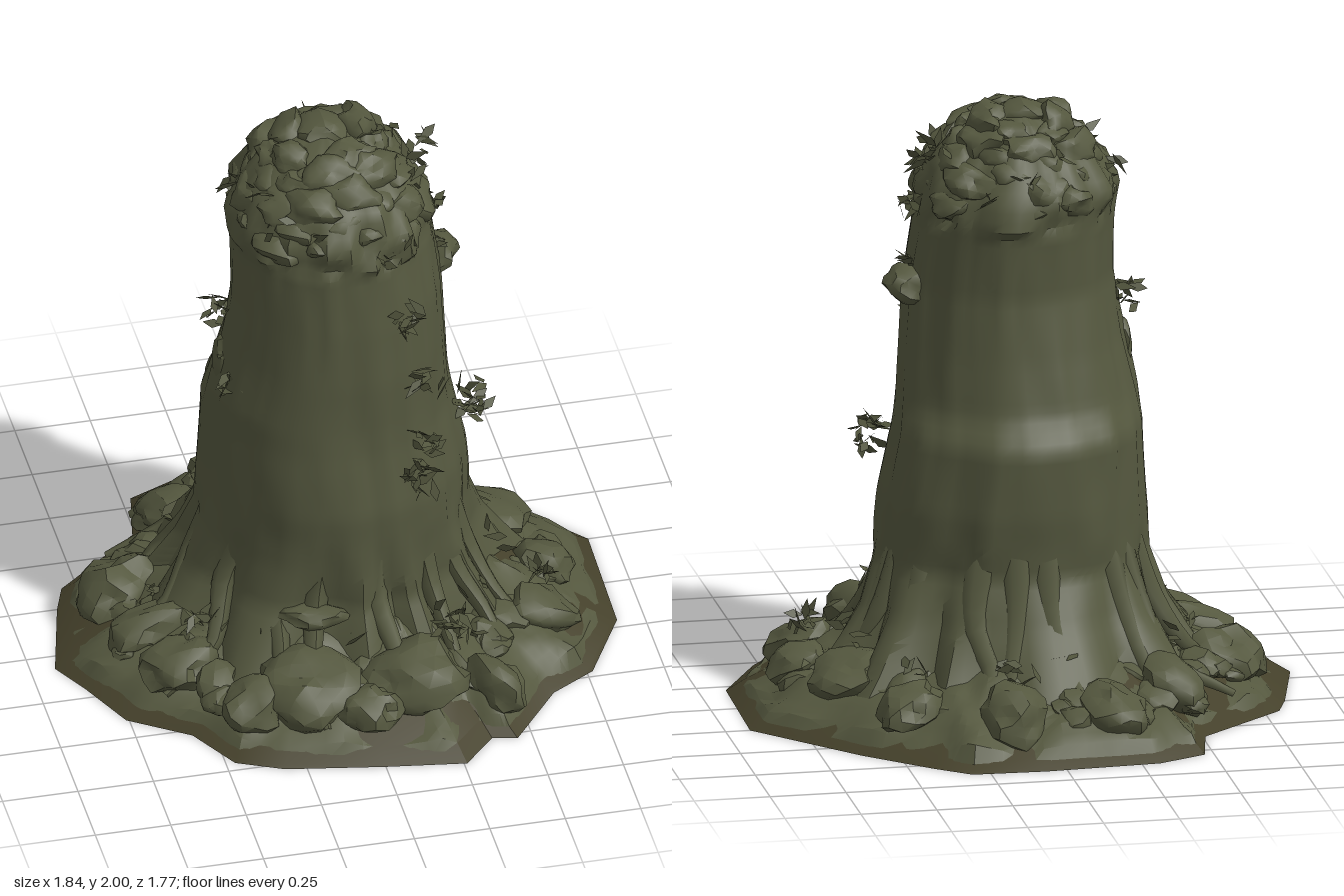
import * as THREE from 'three';
import { toCreasedNormals } from 'three/addons/utils/BufferGeometryUtils.js';

const moss = new THREE.MeshStandardMaterial({ color: 0x55583f });
moss.name = 'mossy bark';
const leafMoss = new THREE.MeshStandardMaterial({ color: 0x50533b, side: THREE.DoubleSide });
leafMoss.name = 'leaf green';
const soil = new THREE.MeshStandardMaterial({ color: 0x45412b });
soil.name = 'dark soil';

let seed = 11;
function rand(a = 0, b = 1) {
  seed = (seed * 16807) % 2147483647;
  return a + (b - a) * (seed / 2147483647);
}

// Smooth value noise in -1..1
function hash(x, y, z) {
  const s = Math.sin(x * 127.1 + y * 311.7 + z * 74.7) * 43758.5453;
  return (s - Math.floor(s)) * 2 - 1;
}
function noise(x, y, z) {
  const X = Math.floor(x), Y = Math.floor(y), Z = Math.floor(z);
  const f = (t) => t * t * (3 - 2 * t), mix = THREE.MathUtils.lerp;
  const u = f(x - X), v = f(y - Y), w = f(z - Z);
  const edge = (j, k) => mix(hash(X, Y + j, Z + k), hash(X + 1, Y + j, Z + k), u);
  return mix(mix(edge(0, 0), edge(1, 0), v), mix(edge(0, 1), edge(1, 1), v), w);
}

// Skin a stack of closed rings, each an array of [x, y, z]
function loft(rings, crease) {
  const n = rings[0].length, index = [];
  for (let r = 0; r < rings.length - 1; r++) {
    for (let i = 0; i < n; i++) {
      const j = (i + 1) % n, a = r * n + i, b = r * n + j;
      index.push(a, a + n, b, b, a + n, b + n);
    }
  }
  const g = new THREE.BufferGeometry();
  g.setAttribute('position', new THREE.Float32BufferAttribute(rings.flat(2), 3));
  g.setIndex(index);
  return toCreasedNormals(g, crease);
}

function add(parent, name, geometry, material) {
  const mesh = new THREE.Mesh(geometry, material);
  mesh.name = name;
  parent.add(mesh);
  return mesh;
}

// Ground outline [x, z]
const OUTLINE = [
  [-0.92, 0.07], [-0.84, -0.25], [-0.8, -0.36], [-0.51, -0.6], [-0.47, -0.8], [-0.31, -0.87],
  [0.07, -0.89], [0.31, -0.88], [0.42, -0.79], [0.62, -0.6], [0.92, -0.25], [0.91, 0.21],
  [0.77, 0.47], [0.62, 0.56], [0.45, 0.78], [0.37, 0.76], [0.26, 0.88], [0, 0.84],
  [-0.32, 0.78], [-0.47, 0.71], [-0.57, 0.53], [-0.76, 0.4], [-0.85, 0.2],
];
// Mound height at a fraction of the way to the outline
const moundHeight = (s) => (s > 0.93 ? (1 - s) * 0.6 : 0.042 + (0.93 - s) * 0.47);

// Trunk sections [y, xMin, xMax, zMin, zMax]
const TRUNK = [
  [0.05, -0.66, 0.7, -0.68, 0.58], [0.2, -0.57, 0.6, -0.59, 0.51], [0.35, -0.48, 0.51, -0.49, 0.44],
  [0.5, -0.43, 0.46, -0.42, 0.445], [0.7, -0.42, 0.445, -0.44, 0.455], [0.93, -0.415, 0.4, -0.435, 0.43],
  [1.02, -0.405, 0.385, -0.36, 0.425], [1.2, -0.365, 0.37, -0.32, 0.425], [1.4, -0.34, 0.355, -0.285, 0.415],
  [1.6, -0.335, 0.33, -0.295, 0.395], [1.72, -0.345, 0.32, -0.31, 0.39], [1.82, -0.285, 0.265, -0.25, 0.33],
  [1.9, -0.21, 0.18, -0.16, 0.22], [1.96, -0.11, 0.09, -0.1, 0.11], [1.975, -0.02, 0, -0.02, 0.01],
];
function sectionAt(y) {
  let k = 0;
  while (k < TRUNK.length - 2 && TRUNK[k + 1][0] < y) k++;
  const t = THREE.MathUtils.clamp((y - TRUNK[k][0]) / (TRUNK[k + 1][0] - TRUNK[k][0]), 0, 1);
  return TRUNK[k].map((v, i) => THREE.MathUtils.lerp(v, TRUNK[k + 1][i], t));
}
function trunkPoint(angle, y, scale = 1) {
  const [, x0, x1, z0, z1] = sectionAt(y);
  const c = Math.cos(angle), s = Math.sin(angle);
  return [(x0 + x1) / 2 + ((x1 - x0) / 2) * c * scale, y, (z0 + z1) / 2 + ((z1 - z0) / 2) * s * scale];
}

function buildTrunk() {
  const rings = [], n = 80, rows = 64;
  for (let r = 0; r <= rows; r++) {
    const y = 0.05 + (1.925 * r) / rows, ring = [];
    for (let i = 0; i < n; i++) {
      const a = (i / n) * Math.PI * 2, c = Math.cos(a), s = Math.sin(a);
      // Buttress ridges fade out above the foot
      const flare = Math.max(0, 0.6 - y) / 0.55;
      const ridges = 0.11 * flare * (Math.cos(a * 11 + 2.5 * noise(c * 2, 0, s * 2)) - 0.2);
      const bark = 0.04 * noise(c * 3.5, y * 1.6, s * 3.5) + 0.025 * noise(c * 8, y * 3.5, s * 8);
      const lumps = y > 1.62 ? 0.09 * noise(c * 5, y * 11, s * 5) : 0;
      ring.push(trunkPoint(a, y, 0.985 + ridges + bark + lumps));
    }
    rings.push(ring);
  }
  return loft(rings, 0.6);
}

// Boulder or moss clump: a dented ball, tipped down the slope it sits on
function addLump(parent, name, pos, size, tilt = 0, detail = 2, rough = 0.35, crease = 0.6) {
  const g = new THREE.IcosahedronGeometry(1, detail), p = g.attributes.position;
  const o = rand(0, 50), v = new THREE.Vector3();
  for (let i = 0; i < p.count; i++) {
    v.fromBufferAttribute(p, i);
    v.multiplyScalar(1 + rough * noise(v.x * 1.7 + o, v.y * 1.7 + o, v.z * 1.7));
    p.setXYZ(i, v.x, v.y, v.z);
  }
  const m = add(parent, name, toCreasedNormals(g, crease), moss);
  m.position.set(...pos);
  m.scale.set(...size);
  m.rotation.set(tilt, Math.atan2(pos[0], pos[2]), 0, 'YXZ');
}

// Root: starts buried in the trunk and tapers down to the ground
function root(angle, reach) {
  const at = (r, y, turn) => new THREE.Vector3(Math.cos(angle + turn) * r, y, Math.sin(angle + turn) * r);
  const curve = new THREE.CatmullRomCurve3([
    new THREE.Vector3(...trunkPoint(angle, 0.62, 0.8)), new THREE.Vector3(...trunkPoint(angle + 0.02, 0.36, 0.93)),
    at(0.57, 0.2, rand(-0.1, 0.1)), at(reach, 0.08, rand(-0.15, 0.15)),
  ]);
  const g = new THREE.TubeGeometry(curve, 12, 0.06, 6), p = g.attributes.position, v = new THREE.Vector3();
  for (let i = 0; i < p.count; i++) {
    const t = Math.floor(i / 7) / 12, c = curve.getPointAt(t);
    v.fromBufferAttribute(p, i).sub(c).multiplyScalar(1 - 0.8 * t).add(c);
    p.setXYZ(i, v.x, v.y, v.z);
  }
  g.computeVertexNormals();
  return g;
}

// Sprig: a tuft of small pointed leaves
function sprig([x, y, z], spread, count) {
  const pos = [];
  for (let i = 0; i < count; i++) {
    const c = new THREE.Vector3(x + rand(-1, 1) * spread, y + rand(-1, 1) * spread, z + rand(-1, 1) * spread);
    const d = new THREE.Vector3(rand(-1, 1), rand(-0.6, 0.8), rand(-1, 1)).normalize();
    const side = new THREE.Vector3(rand(-1, 1), rand(-1, 1), rand(-1, 1)).cross(d).normalize().multiplyScalar(0.016);
    const tip = c.clone().addScaledVector(d, rand(0.03, 0.07)), tail = c.clone().addScaledVector(d, -0.03);
    const l = c.clone().add(side), r = c.clone().sub(side);
    for (const q of [tail, l, tip, tail, tip, r]) pos.push(q.x, q.y, q.z);
  }
  const g = new THREE.BufferGeometry();
  g.setAttribute('position', new THREE.Float32BufferAttribute(pos, 3));
  g.computeVertexNormals();
  return g;
}

export function createModel() {
  const model = new THREE.Group();
  model.name = 'mossyTreeStump';

  // Ground: soil slab with a rough mossy layer over it
  const ring = (s, y) => OUTLINE.map(([x, z]) => [x * s, y, z * s]);
  add(model, 'soilSlab', loft([ring(0, 0), ring(1, 0), ...[0.985, 0.93, 0.8, 0.6, 0.4].map((s) => ring(s, moundHeight(s)))], 0.5), soil);
  const outer = [];
  OUTLINE.forEach(([x, z], i) => {
    const [x2, z2] = OUTLINE[(i + 1) % OUTLINE.length];
    for (let t = 0; t < 1; t += 0.2) outer.push([x + (x2 - x) * t, z + (z2 - z) * t]);
  });
  const cover = [];
  for (let s = 0.97; s > 0.38; s -= 0.04) {
    cover.push(outer.map(([x, z]) => [x * s,
      moundHeight(s) + (s > 0.95 ? -0.01 : 0.014 + 0.025 * noise(x * s * 7, 3, z * s * 7) + 0.014 * noise(x * s * 16, 8, z * s * 16)), z * s]));
  }
  add(model, 'mossyGround', loft(cover, 0.5), moss);

  add(model, 'trunk', buildTrunk(), moss);
  for (let i = 0; i < 17; i++) add(model, 'root', root((i / 17) * Math.PI * 2 + rand(-0.15, 0.15), rand(0.66, 0.78)), moss);

  // Boulders half sunk in the mound [x, z, width, height, depth]
  const rocks = [
    [-0.19, -0.69, 0.1, 0.08, 0.13], [0.14, -0.69, 0.11, 0.08, 0.13], [0.17, 0.6, 0.16, 0.1, 0.14], [-0.2, 0.59, 0.16, 0.11, 0.15],
    [-0.57, 0.33, 0.12, 0.08, 0.13], [-0.62, 0.12, 0.09, 0.08, 0.17], [0.6, -0.24, 0.13, 0.08, 0.13], [0.41, 0.63, 0.07, 0.08, 0.12],
    [0.65, 0.28, 0.1, 0.06, 0.12], [-0.67, -0.15, 0.13, 0.08, 0.13], [0.45, -0.54, 0.1, 0.07, 0.12], [-0.42, -0.5, 0.1, 0.07, 0.13],
    [0.71, 0.02, 0.1, 0.06, 0.1], [-0.02, 0.7, 0.1, 0.07, 0.08], [-0.38, 0.58, 0.1, 0.08, 0.1],
  ];
  for (const [x, z, w, h, d] of rocks) addLump(model, 'boulder', [x, 0.37 - Math.hypot(x, z) * 0.34, z], [w, h, d], 0.32);
  for (let i = 0; i < 60; i++) {
    const a = rand(0, 6.28), r = rand(0.5, 0.74), s = rand(0.03, 0.07);
    addLump(model, 'pebble', [Math.cos(a) * r, 0.375 - r * 0.36, Math.sin(a) * r], [s, s * 0.6, s * 1.2], 0.3, 1);
  }

  // Soft moss clumps melted into the crown
  for (let i = 0; i < 48; i++) {
    const y = 1.68 + 0.26 * (i / 48), a = i * 2.4, s = rand(0.06, 0.1);
    addLump(model, 'crownMoss', trunkPoint(a, y, 0.84), [s, s * 0.6, s * 0.75], 0.5, 2, 0.4, 0.9);
  }
  addLump(model, 'crownTip', [-0.02, 1.95, 0], [0.09, 0.045, 0.09], 0, 2);

  // Knots and broken bark on the trunk
  addLump(model, 'bracket', [0.35, 1.4, 0], [0.09, 0.06, 0.08], -0.5);
  addLump(model, 'frontKnot', [-0.15, 0.33, 0.41], [0.12, 0.04, 0.06]);
  addLump(model, 'sideKnot', [-0.35, 1.12, 0.08], [0.07, 0.12, 0.04]);

  // Leaf tufts [x, y, z, spread, count]
  const tufts = [
    [0.45, 0.87, 0.12, 0.055, 24], [0.21, 0.83, 0.43, 0.05, 18], [0.23, 0.97, 0.42, 0.05, 10], [0.17, 1.45, 0.42, 0.05, 14],
    [0.22, 1.22, 0.43, 0.05, 12], [-0.37, 1.3, 0.05, 0.05, 14], [-0.34, 1.13, 0.15, 0.06, 14], [0.33, 1.84, -0.05, 0.02, 4],
    [0.33, 1.64, 0.05, 0.04, 10], [0.36, 1.45, 0.03, 0.04, 8], [0.67, 0.22, 0.2, 0.04, 12], [0.3, 0.26, 0.48, 0.08, 26],
    [-0.48, 0.27, 0.25, 0.05, 10], [0.1, 0.23, -0.6, 0.06, 10], [0, 1.88, 0.02, 0.07, 14], [0.22, 1.84, 0.05, 0.05, 12],
  ];
  for (const [x, y, z, spread, count] of tufts) add(model, 'leafTuft', sprig([x, y, z], spread, count), leafMoss);
  for (let i = 0; i < 24; i++) {
    const y = i < 12 ? rand(1.66, 1.88) : rand(0.2, 0.28);
    add(model, 'leafTuft', sprig(trunkPoint(i * 2.4, y, 1), 0.035, 4), leafMoss);
  }
  return model;
}
